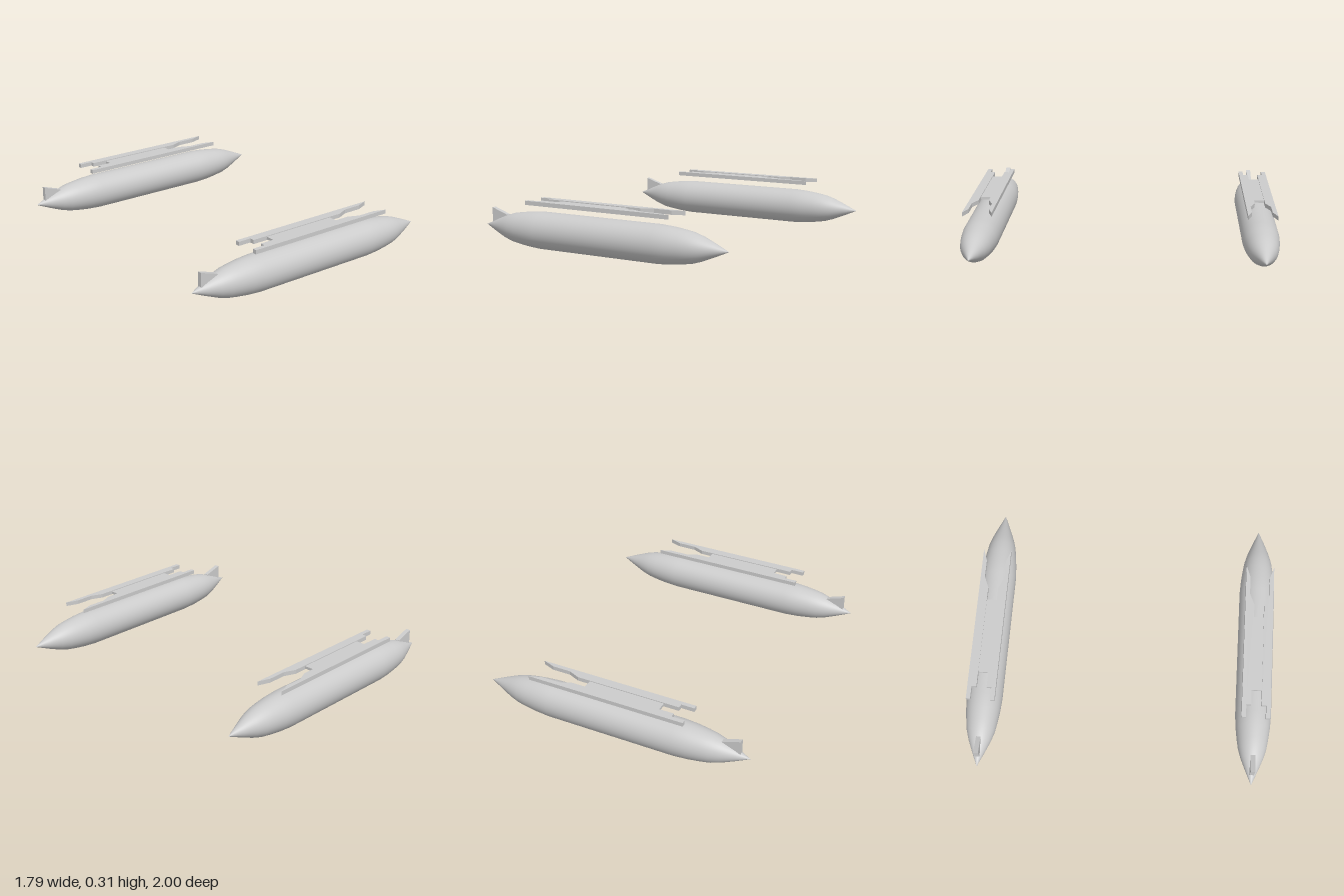
import * as THREE from 'three';

const material = new THREE.MeshStandardMaterial({ color: 0xcccccc });

// Add a named mesh to a group
function add(group, name, geometry) {
  const mesh = new THREE.Mesh(geometry, material);
  mesh.name = name;
  group.add(mesh);
  return mesh;
}

// Extrude an outline without bevel
function prism(points, depth) {
  const shape = new THREE.Shape(points.map(([x, y]) => new THREE.Vector2(x, y)));
  return new THREE.ExtrudeGeometry(shape, { depth, bevelEnabled: false });
}

// Spindle-shaped tank lying along x, symmetric end to end
function tankGeometry() {
  const nose = [[0.895, 0], [0.8, 0.041], [0.72, 0.073], [0.66, 0.091],
    [0.6, 0.101], [0.52, 0.111], [0.43, 0.117]];
  const profile = [
    ...nose.map(([x, r]) => new THREE.Vector2(r, -x)),
    ...nose.slice().reverse().map(([x, r]) => new THREE.Vector2(r, x)),
  ];
  return new THREE.LatheGeometry(profile, 40).rotateZ(-Math.PI / 2);
}

// Plan outline of one mounting rail: stepped at the rear, tapered at the front
const railOutline = [[-0.5, 0.064], [-0.415, 0.064], [-0.415, 0.033], [0.275, 0.033],
  [0.35, 0.064], [0.47, 0.064], [0.55, 0.092], [-0.5, 0.092]];

function createPod() {
  const pod = new THREE.Group();
  add(pod, 'tank', tankGeometry()).position.y = 0.117;

  // Tail fin, rooted inside the tank
  const fin = prism([[-0.835, 0.13], [-0.715, 0.13], [-0.715, 0.193], [-0.835, 0.232]], 0.03);
  add(pod, 'tailFin', fin.translate(0, 0, -0.015));

  // Pair of rails above the tank, mirrored across its centre line
  for (const side of [1, -1]) {
    const outline = railOutline.map(([x, z]) => [x, -side * z]);
    const rail = prism(outline, 0.026).rotateX(-Math.PI / 2);
    add(pod, side > 0 ? 'railLeftHand' : 'railRightHand', rail).position.y = 0.283;
  }

  // Thinner web joining the rails, with tapered front shoulders left open
  const web = add(pod, 'railWeb', new THREE.BoxGeometry(0.505, 0.016, 0.068));
  web.position.set(-0.0625, 0.296, 0);
  return pod;
}

export function createModel() {
  const model = new THREE.Group();
  model.name = 'podPair';
  for (const side of [1, -1]) {
    const pod = createPod();
    pod.name = side > 0 ? 'frontPod' : 'backPod';
    pod.position.z = side * 0.883;
    model.add(pod);
  }
  return model;
}
